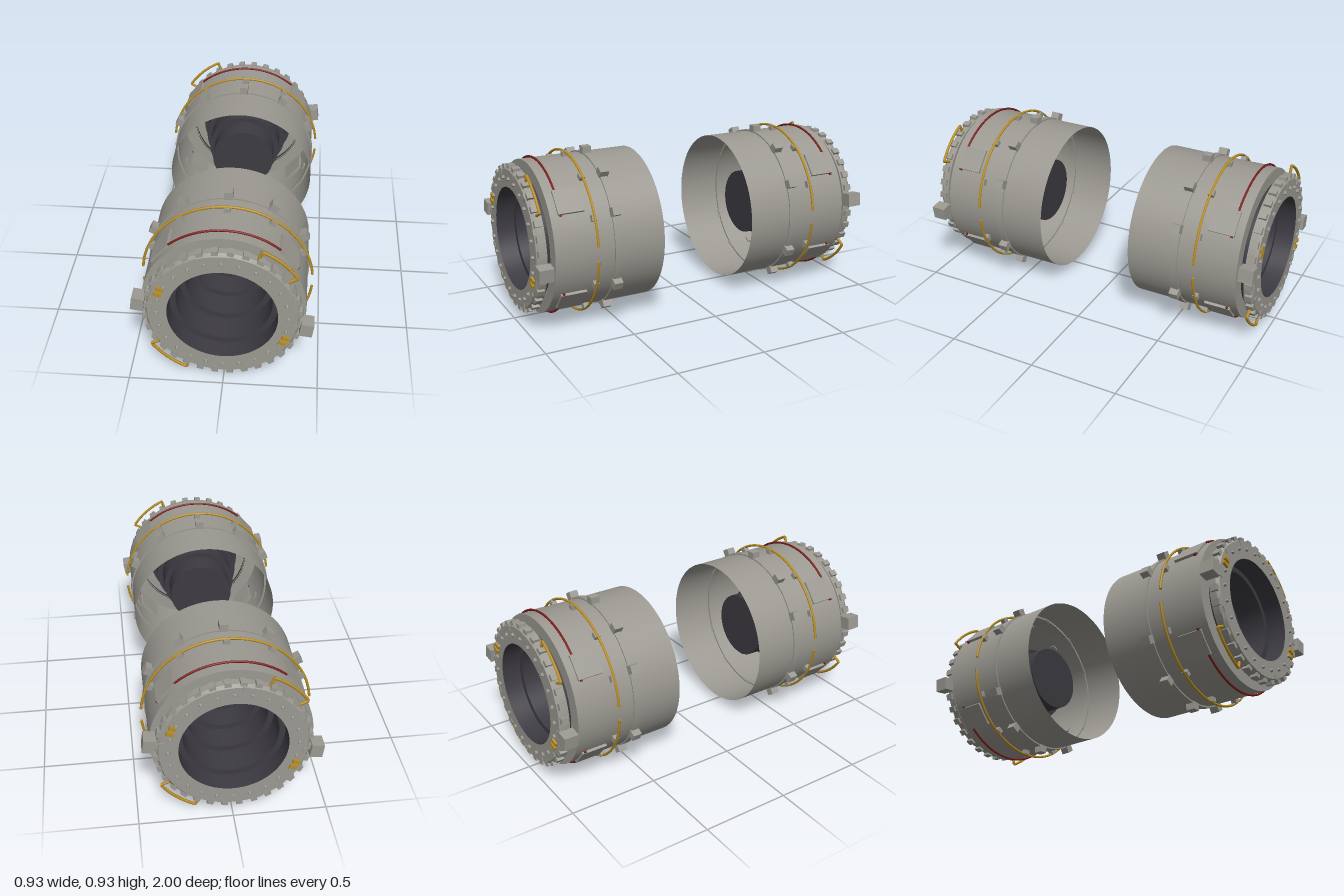
import * as THREE from 'three';
import { toCreasedNormals } from 'three/addons/utils/BufferGeometryUtils.js';

const mat = (name, color, side = THREE.FrontSide) => {
  const m = new THREE.MeshStandardMaterial({ color, side });
  m.name = name;
  return m;
};
const rad = THREE.MathUtils.degToRad;

export function createModel() {
  const grey = mat('hull grey', 0x9b9991, THREE.DoubleSide);
  const dark = mat('tunnel charcoal', 0x3d3b42, THREE.DoubleSide);
  const gold = mat('handrail gold', 0xb88d22);
  const red = mat('cable red', 0x7d1d1b);

  // Ring-shaped part around the z axis from [radius, z] points
  const lathe = (parent, name, pts, m) => {
    const g = new THREE.LatheGeometry(pts.map(p => new THREE.Vector2(...p)), 72);
    g.rotateX(Math.PI / 2);
    const mesh = new THREE.Mesh(toCreasedNormals(g, rad(25)), m);
    mesh.name = name;
    parent.add(mesh);
  };
  // Block placed around the axis; size = [radial, tangential, depth]
  const block = (parent, name, size, r, deg, z, m, tilt = 0) => {
    const mesh = new THREE.Mesh(new THREE.BoxGeometry(...size), m);
    const a = rad(deg);
    mesh.position.set(r * Math.cos(a), r * Math.sin(a), z);
    mesh.rotation.z = a + rad(tilt);
    mesh.name = name;
    parent.add(mesh);
  };
  // Rod following an arc, with optional legs reaching down to radius foot
  const rod = (parent, name, r, a0, a1, z, t, m, foot) => {
    const at = (q, d) => new THREE.Vector3(q * Math.cos(rad(d)), q * Math.sin(rad(d)), z);
    const path = new THREE.CurvePath();
    const n = Math.ceil(Math.abs(a1 - a0) / 4);
    const pts = [];
    for (let i = 0; i <= n; i++) pts.push(at(r, a0 + (a1 - a0) * i / n));
    if (foot) {
      pts.unshift(at(foot, a0 + 1));
      pts.push(at(foot, a1 - 1));
    }
    for (let i = 1; i < pts.length; i++) path.add(new THREE.LineCurve3(pts[i - 1], pts[i]));
    const curve = foot ? path : new THREE.CatmullRomCurve3(pts);
    const mesh = new THREE.Mesh(new THREE.TubeGeometry(curve, foot ? 64 : 72, t, 8), m);
    mesh.name = name;
    parent.add(mesh);
    // Flat end caps
    [0, 1].forEach(u => {
      const cap = new THREE.Mesh(new THREE.CircleGeometry(t, 8), m);
      cap.position.copy(curve.getPoint(u));
      const dir = curve.getTangent(u).multiplyScalar(u ? 1 : -1);
      cap.quaternion.setFromUnitVectors(new THREE.Vector3(0, 0, 1), dir);
      cap.name = name + 'End';
      parent.add(cap);
    });
  };

  function createPort() {
    const port = new THREE.Group();

    // Open shell with its front bulkhead, and the hoop around it
    lathe(port, 'shell', [[0.423, 0.275], [0.423, 0.898], [0.34, 0.898]], grey);
    lathe(port, 'hoop', [[0.412, 0.527], [0.431, 0.527], [0.431, 0.567], [0.412, 0.567], [0.412, 0.527]], grey);
    for (const a of [0, 32, 63, 117, 148, 180, 212, 243, 297, 328])
      block(port, 'hoopBracket', [0.05, 0.046, 0.05], 0.441, 90 + a, 0.547, grey);

    // Docking collar, ring and stepped tunnel
    lathe(port, 'collar', [[0.345, 0.89], [0.345, 0.935]], dark);
    lathe(port, 'dockingRing', [[0.282, 0.93], [0.393, 0.93], [0.393, 0.968], [0.38, 0.985], [0.282, 0.985]], grey);
    lathe(port, 'tunnel', [[0.282, 0.985], [0.282, 0.88], [0.25, 0.88], [0.25, 0.73],
      [0.217, 0.73], [0.217, 0.59], [0.187, 0.59], [0.187, 0.46], [0, 0.46]], dark);

    // Rim teeth, face latches and bolts
    for (let i = 0; i < 32; i++)
      block(port, 'rimTooth', [0.026, 0.034, 0.04], 0.394, i * 11.25 + 5, 0.96, grey);
    for (let i = 0; i < 12; i++)
      block(port, 'faceLatch', [0.026, 0.03, 0.02], 0.369, i * 30 + 22, 0.978, grey);
    for (let i = 0; i < 24; i++) {
      const g = new THREE.CylinderGeometry(0.008, 0.011, 0.014, 5);
      g.rotateX(Math.PI / 2);
      const bolt = new THREE.Mesh(toCreasedNormals(g, rad(25)), grey);
      const a = i * Math.PI / 12;
      bolt.position.set(0.335 * Math.cos(a), 0.335 * Math.sin(a), 0.991);
      bolt.name = 'bolt';
      port.add(bolt);
    }

    // Parts repeated on opposite sides of the axis
    for (const o of [0, 180]) {
      block(port, 'guideBlock', [0.066, 0.075, 0.08], 0.431, o - 8, 0.96, grey);
      rod(port, 'ringHandrail', 0.446, o + 33, o + 64, 0.955, 0.008, gold, 0.39);
      block(port, 'goldTab', [0.04, 0.021, 0.014], 0.347, o - 21.5, 0.99, gold, 2);
      block(port, 'goldTab', [0.04, 0.021, 0.014], 0.347, o - 27.5, 0.99, gold, 8);

      // Long handrail with its stand-offs
      rod(port, 'shellHandrail', 0.449, o + 5, o + 175, 0.67, 0.007, gold);
      for (const a of [25, 57, 90, 123, 155])
        block(port, 'handrailStandoff', [0.036, 0.034, 0.03], 0.431, o + a, 0.67, grey);

      // Red cable running between the side panels
      rod(port, 'cable', 0.43, o + 47, o + 133, 0.84, 0.006, red);
      for (const a of [40, 140]) {
        block(port, 'sidePanel', [0.03, 0.136, 0.145], 0.417, o + a, 0.783, grey);
        const end = a < 90 ? 30.5 : 149.5;
        block(port, 'cableEnd', [0.014, 0.012, 0.012], 0.428, o + end, 0.84, red);
      }
    }
    return port;
  }

  // Two matching ports, back to back
  const model = new THREE.Group();
  model.name = 'dockingPorts';
  ['frontPort', 'rearPort'].forEach((name, i) => {
    const port = createPort();
    port.name = name;
    port.position.y = 0.467;
    port.rotation.y = i * Math.PI;
    model.add(port);
  });
  return model;
}
